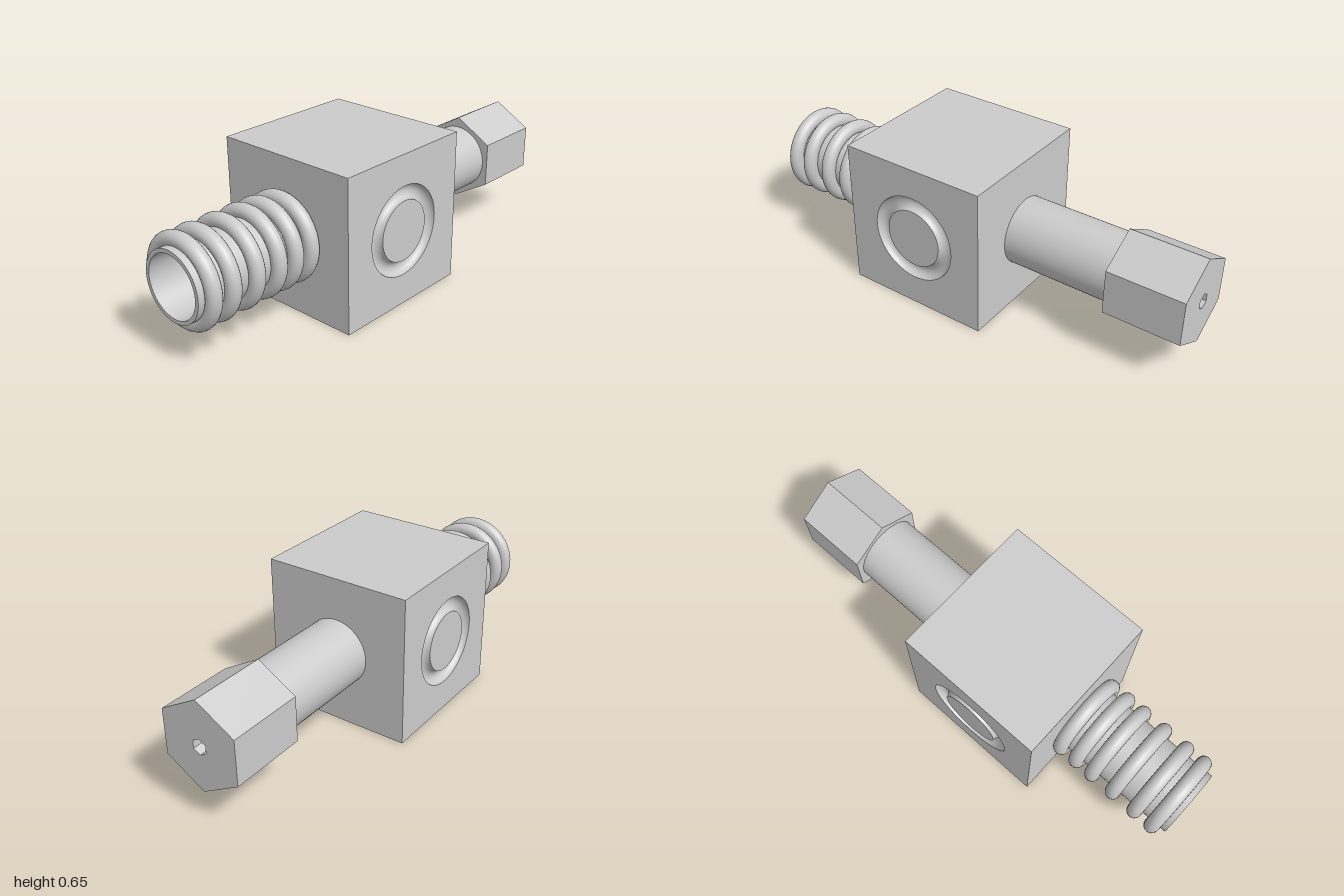
import * as THREE from 'three';
import { toCreasedNormals } from 'three/addons/utils/BufferGeometryUtils.js';

const AXIS_Y = 0.324, BLOCK_X = -0.118, HALF = 0.325;
const RING_R = 0.161, RING_T = 0.0315;

export function createModel() {
  const model = new THREE.Group();
  const material = new THREE.MeshStandardMaterial({ color: 0xcccccc });

  function add(name, geometry, x, y, z, parent = model) {
    const mesh = new THREE.Mesh(geometry, material);
    mesh.name = name;
    mesh.position.set(x, y, z);
    parent.add(mesh);
    return mesh;
  }

  function hexagon(Type, radius) {
    const points = [];
    for (let i = 0; i < 6; i++) {
      const a = Math.PI / 2 + (i * Math.PI) / 3;
      points.push(new THREE.Vector2(radius * Math.cos(a), radius * Math.sin(a)));
    }
    return new Type(points);
  }

  // Cube block, opened front and back where the ring grooves are cut
  const square = new THREE.Shape([
    new THREE.Vector2(-HALF, -HALF), new THREE.Vector2(HALF, -HALF),
    new THREE.Vector2(HALF, HALF), new THREE.Vector2(-HALF, HALF),
  ]);
  square.holes.push(new THREE.Path().absarc(0, 0, RING_R + RING_T, 0, Math.PI * 2, true));
  const block = new THREE.ExtrudeGeometry(square, {
    depth: HALF * 2, bevelEnabled: false, curveSegments: 64,
  });
  add('block', block, BLOCK_X, HALF, -HALF);

  // Half-round ring groove with a flush centre disc, front and back
  const groovePoints = [];
  for (let i = 0; i <= 16; i++) {
    const a = (i * Math.PI) / 16;
    groovePoints.push(new THREE.Vector2(RING_R + RING_T * Math.cos(a), -RING_T * Math.sin(a)));
  }
  const grooveGeometry = new THREE.LatheGeometry(groovePoints, 64).rotateX(Math.PI / 2);
  const discGeometry = new THREE.CircleGeometry(RING_R - RING_T, 64);
  for (const side of [1, -1]) {
    const recess = new THREE.Group();
    recess.name = side > 0 ? 'frontRecess' : 'backRecess';
    recess.position.set(BLOCK_X, HALF, side * HALF);
    if (side < 0) recess.rotation.y = Math.PI;
    add('ringGroove', grooveGeometry, 0, 0, 0, recess);
    add('centreDisc', discGeometry, 0, 0, 0, recess);
    model.add(recess);
  }

  // Hollow tube on the right, open at its outer end
  const tubeProfile = [[0.145, 0.44], [0.145, 1], [0.128, 1], [0.128, 0.44]]
    .map(([r, h]) => new THREE.Vector2(r, h));
  const tube = toCreasedNormals(new THREE.LatheGeometry(tubeProfile, 64), 0.6);
  add('hollowTube', tube.rotateZ(Math.PI / 2), 0, AXIS_Y, 0);

  // Unevenly spaced rounded ribs around the tube
  const rib = new THREE.TorusGeometry(RING_R, RING_T, 20, 64).rotateY(Math.PI / 2);
  for (const x of [-0.945, -0.857, -0.745, -0.637, -0.553, -0.471]) {
    add('tubeRib', rib, x, AXIS_Y + 0.002, 0);
  }

  // Plain shaft on the left
  const shaft = new THREE.CylinderGeometry(0.145, 0.145, 0.475, 64).rotateZ(Math.PI / 2);
  add('shaft', shaft, 0.4375, AXIS_Y, 0);

  // Hexagonal head with a small hexagonal socket
  const headShape = hexagon(THREE.Shape, 0.194);
  headShape.holes.push(hexagon(THREE.Path, 0.034));
  const head = new THREE.ExtrudeGeometry(headShape, { depth: 0.325, bevelEnabled: false });
  add('hexHead', head.rotateY(Math.PI / 2), 0.675, 0.321, 0);

  return model;
}
